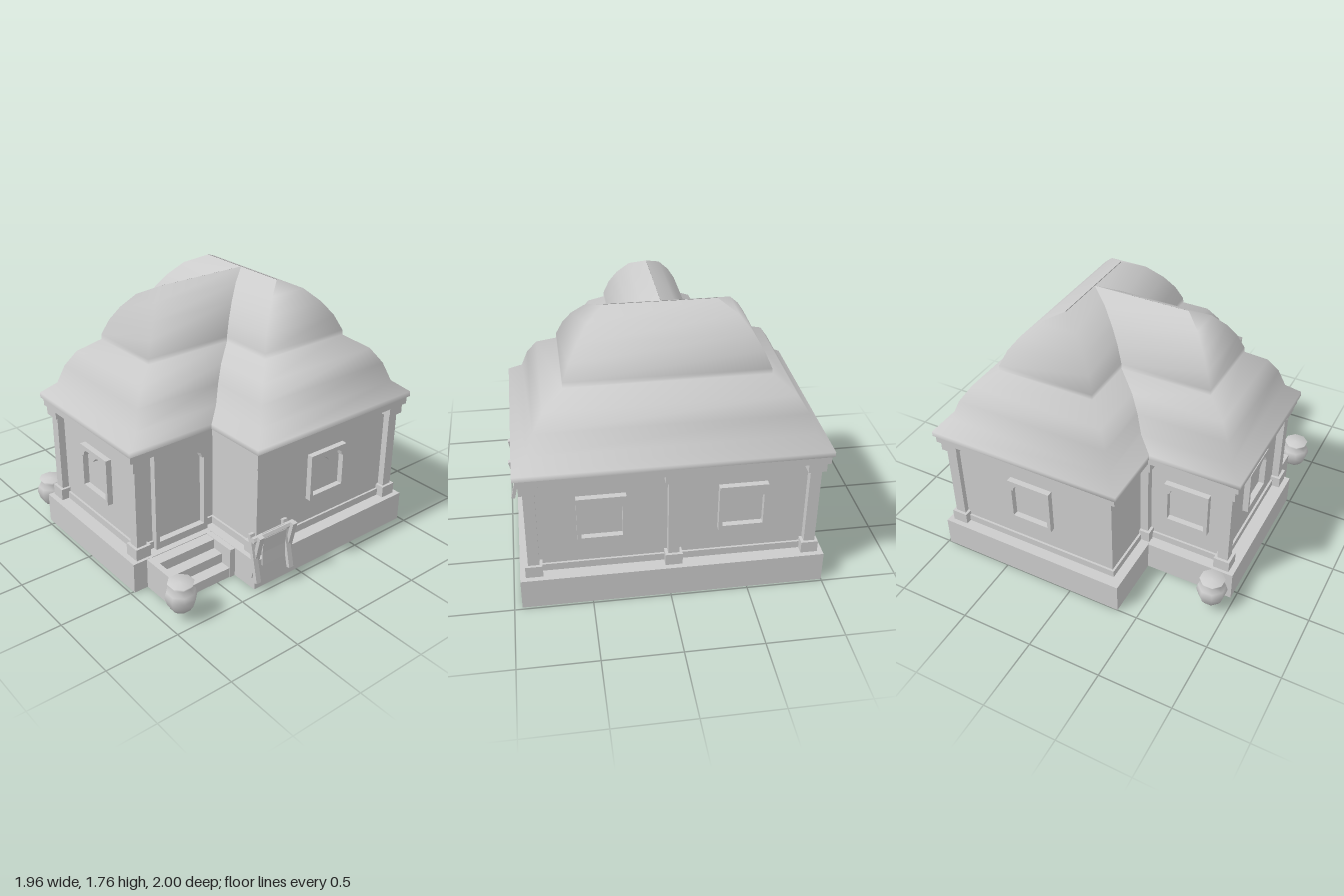
import * as THREE from 'three';
import { mergeVertices } from 'three/addons/utils/BufferGeometryUtils.js';

const mat = new THREE.MeshStandardMaterial({ color: 0xcccccc, side: THREE.DoubleSide });
const flatMat = new THREE.MeshStandardMaterial({ color: 0xcccccc, flatShading: true, side: THREE.DoubleSide });

function add(parent, name, geometry, material = mat) {
  const mesh = new THREE.Mesh(geometry, material);
  mesh.name = name;
  parent.add(mesh);
  return mesh;
}

// Box given by its limits on each axis
function box(parent, name, x0, x1, y0, y1, z0, z1) {
  const mesh = add(parent, name, new THREE.BoxGeometry(x1 - x0, y1 - y0, z1 - z0));
  mesh.position.set((x0 + x1) / 2, (y0 + y1) / 2, (z0 + z1) / 2);
  return mesh;
}

// Box without its underside
function openBox(...limits) {
  const g = box(...limits).geometry;
  g.setIndex(Array.from(g.index.array).filter((_, i) => i < 18 || i >= 24));
}

// Smooth stack of rectangular rings [y, x0, x1, z0, z1]; openEnd leaves the +x side out
function loftRects(rings, openEnd) {
  const pos = [], idx = [];
  for (const [y, x0, x1, z0, z1] of rings) pos.push(x0, y, z1, x1, y, z1, x1, y, z0, x0, y, z0);
  for (let r = 0; r < rings.length - 1; r++) {
    for (let i = 0; i < 4; i++) {
      if (openEnd && i === 1) continue;
      const a = r * 4 + i, b = r * 4 + (i + 1) % 4;
      idx.push(a, b, b + 4, a, b + 4, a + 4);
    }
  }
  let g = new THREE.BufferGeometry();
  g.setAttribute('position', new THREE.Float32BufferAttribute(pos, 3));
  g.setIndex(idx);
  g = mergeVertices(g);
  g.computeVertexNormals();
  return g;
}

// Two-tier roof curve: [height, inset from the eave, inset at the hipped ends]
const roofCurve = [
  [0.965, 0, 0], [1.0, 0, 0], [1.075, 0.095, 0.095], [1.2, 0.14, 0.14], [1.3, 0.205, 0.205], [1.385, 0.335, 0.335],
  [1.42, 0.337, 0.337], [1.52, 0.38, 0.38], [1.61, 0.445, 0.435], [1.7, 0.54, 0.51], [1.757, 0.67, 0.62],
];

// Frame with a double-lobed arch opening, standing on y = 0 and facing +z
function archFrame(w, h, rim, sill, spring, rise, depth) {
  const s = new THREE.Shape();
  s.moveTo(-w / 2, 0).lineTo(w / 2, 0).lineTo(w / 2, h).lineTo(-w / 2, h).closePath();
  const hole = new THREE.Path(), a = w / 2 - rim, b = a - 0.012;
  hole.moveTo(-a, sill).lineTo(-a, spring).lineTo(-b, spring);
  hole.bezierCurveTo(-b, spring + rise * 1.35, -b * 0.3, spring + rise * 1.3, 0, spring + rise * 0.1);
  hole.bezierCurveTo(b * 0.3, spring + rise * 1.3, b, spring + rise * 1.35, b, spring);
  hole.lineTo(a, spring).lineTo(a, sill).closePath();
  s.holes.push(hole);
  return new THREE.ExtrudeGeometry(s, { depth, bevelEnabled: false, curveSegments: 5 });
}

function pillar(parent, x, z) {
  const g = new THREE.Group();
  g.name = 'pillar';
  for (const [name, r, y0, y1] of [['pillarBase', 0.055, 0.21, 0.29], ['pillarShaft', 0.036, 0.29, 0.84], ['pillarCapital', 0.058, 0.84, 0.91]]) {
    box(g, name, -r, r, y0, y1, -r, r);
  }
  g.position.set(x, 0, z);
  parent.add(g);
}

function jar(parent, x, z) {
  const profile = [[0, 0.07], [0.062, 0.07], [0.085, 0.105], [0.102, 0.16], [0.092, 0.2], [0.065, 0.23], [0.085, 0.258], [0, 0.262]];
  const m = add(parent, 'jar', new THREE.LatheGeometry(profile.map(p => new THREE.Vector2(...p)), 8));
  m.position.set(x, 0, z);
  m.rotation.y = Math.PI / 8;
}

export function createModel() {
  const root = new THREE.Group();
  root.name = 'house';

  // Foundations, open underneath
  openBox(root, 'mainFoundation', -0.36, 0.985, 0, 0.21, -1, 0.95);
  openBox(root, 'wingFoundation', -0.975, 0, 0, 0.209, -0.56, 0.51);

  // Walls, skirting and fascia
  box(root, 'mainWalls', -0.28, 0.88, 0.21, 0.93, -0.91, 0.85);
  box(root, 'wingWalls', -0.87, 0, 0.21, 0.93, -0.47, 0.42);
  box(root, 'mainSkirting', -0.295, 0.895, 0.21, 0.26, -0.925, 0.865);
  box(root, 'wingSkirting', -0.885, 0, 0.21, 0.26, -0.485, 0.435);
  box(root, 'mainFascia', -0.345, 0.973, 0.91, 0.965, -0.985, 0.935);
  box(root, 'wingFascia', -0.96, 0, 0.91, 0.964, -0.545, 0.495);

  // Curved hipped roofs; the wing ridge runs into the main ridge
  add(root, 'mainRoof', loftRects(roofCurve.map(([y, d, e]) => [y, -0.36 + d, 0.985 - d, -1 + e, 0.95 - e]), false));
  add(root, 'wingRoof', loftRects(roofCurve.map(([y, d, e]) =>
    [y, -0.975 + e, -0.36 + d, -0.56 + d * 0.798, 0.51 - d * 0.798]), true));

  // Pillars at the corners and mid-walls
  for (const [x, z] of [[0.895, 0.86], [0.895, -0.91], [0.895, -0.025], [-0.272, 0.86],
    [-0.883, 0.435], [-0.883, -0.485], [-0.3, -0.485]]) pillar(root, x, z);

  // Windows: position on the wall and facing angle
  const windowGeo = archFrame(0.31, 0.325, 0.025, 0.03, 0.25, 0.048, 0.04);
  for (const [x, z, turn] of [[0.31, 0.85, 0], [0.88, 0.425, 1], [0.88, -0.465, 1],
    [0.31, -0.91, 2], [-0.6, -0.47, 2], [-0.87, -0.025, 3]]) {
    const m = add(root, 'windowFrame', windowGeo);
    m.position.set(x, 0.43, z);
    m.rotation.y = turn * Math.PI / 2;
  }

  // Door with its arched frame
  add(root, 'doorFrame', archFrame(0.41, 0.69, 0.028, 0.05, 0.545, 0.055, 0.045)).position.set(-0.563, 0.21, 0.42);

  // Entrance steps between two low side walls
  for (const x of [-0.875, -0.4]) box(root, 'stepSideWall', x, x + 0.04, 0, 0.208, 0.51, 0.755);
  for (let i = 0; i < 3; i++) {
    box(root, 'step', -0.835, -0.4, 0, 0.205 - i * 0.068, 0.51 + i * 0.08, 0.59 + i * 0.08);
  }

  // Jars
  jar(root, -0.885, 0.88);
  jar(root, -0.885, -0.68);

  // Folding rack: crossed legs, rail and hanging cloth
  const rack = new THREE.Group();
  rack.name = 'rack';
  for (const x of [-0.36, -0.085]) {
    for (const s of [-1, 1]) {
      const leg = box(rack, 'rackLeg', -0.018, 0.018, -0.168, 0.168, -0.013, 0.013);
      leg.position.set(x + s * 0.009, 0.245, 0.953);
      leg.rotation.x = s * 0.22;
    }
  }
  const rail = add(rack, 'rackRail', new THREE.CylinderGeometry(0.021, 0.021, 0.34, 6), flatMat);
  rail.rotation.z = Math.PI / 2;
  rail.position.set(-0.22, 0.383, 0.955);
  const cloth = new THREE.Shape([[0.936, 0.375], [0.955, 0.405], [0.976, 0.375], [0.968, 0.27], [0.973, 0.175], [0.963, 0.175], [0.958, 0.27], [0.962, 0.365]]
    .map(([z, y]) => new THREE.Vector2(-z, y)));
  const clothMesh = add(rack, 'hangingCloth', new THREE.ExtrudeGeometry(cloth, { depth: 0.19, bevelEnabled: false }));
  clothMesh.rotation.y = Math.PI / 2;
  clothMesh.position.x = -0.315;
  root.add(rack);

  return root;
}
